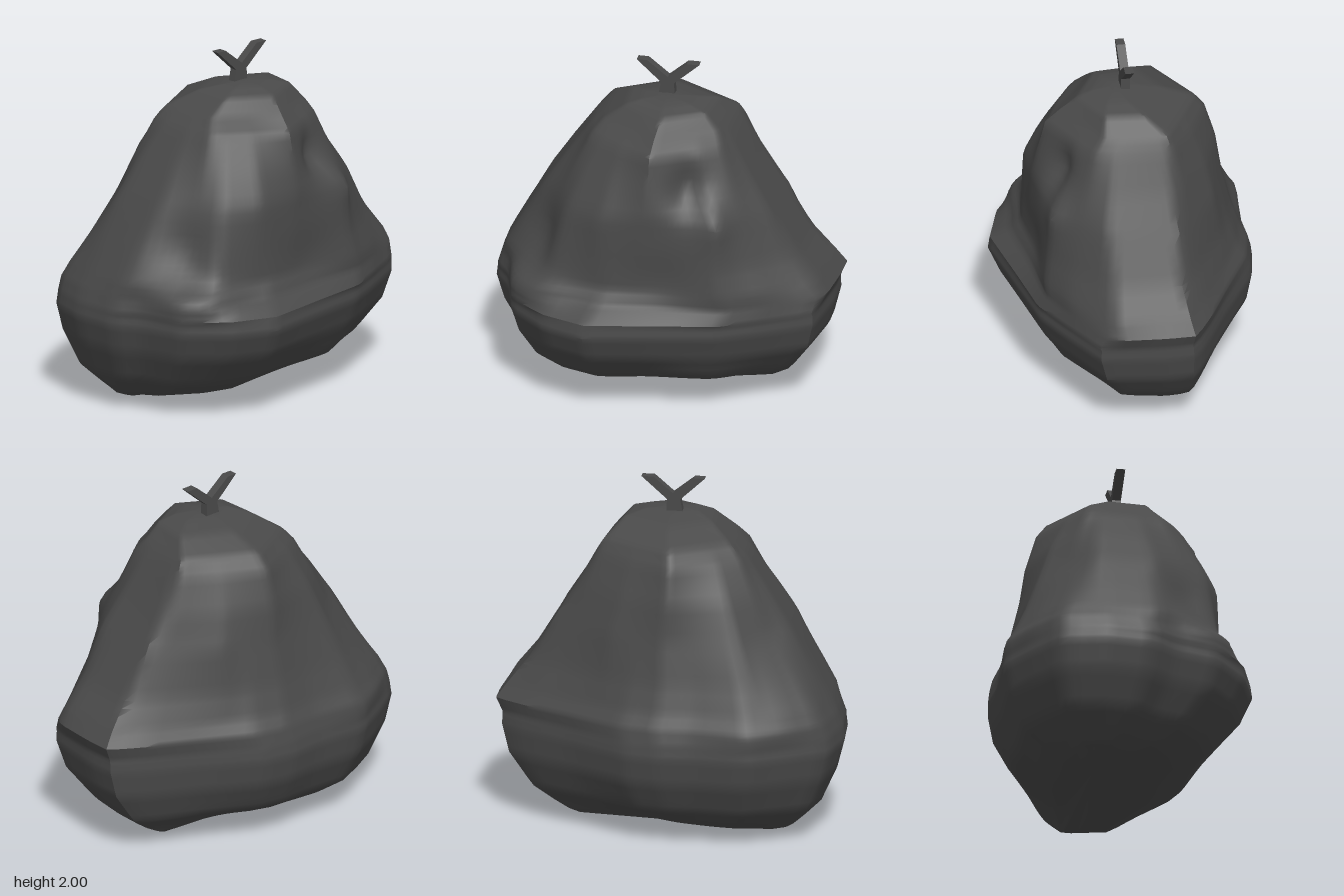
import * as THREE from 'three';
import { toCreasedNormals } from 'three/addons/utils/BufferGeometryUtils.js';

const { lerp, clamp, mapLinear } = THREE.MathUtils;

// section outlines as x,z corners, each with the height where it applies
const outlines = [
  // belly
  [0.62, [[0.99, -0.1], [0.95, 0.25], [0.65, 0.43], [0.45, 0.54], [-0.3, 0.72], [-0.55, 0.64], [-0.78, 0.46],
    [-0.87, 0.2], [-0.97, 0.08], [-1, -0.2], [-0.95, -0.45], [-0.75, -0.58], [-0.52, -0.71], [-0.2, -0.7],
    [0, -0.72], [0.2, -0.69], [0.55, -0.5], [0.8, -0.38], [0.98, -0.28]]],
  // waist, just above the front bulge
  [0.8, [[0.93, -0.25], [0.93, 0.17], [0.65, 0.4], [0.45, 0.51], [-0.2, 0.56], [-0.55, 0.51], [-0.75, 0.34],
    [-0.9, 0.1], [-0.91, -0.2], [-0.87, -0.42], [-0.7, -0.55], [-0.5, -0.65], [-0.2, -0.64], [0, -0.66],
    [0.2, -0.62], [0.52, -0.47], [0.75, -0.36]]],
  // shoulder, with narrow side panels and a broad front
  [1.2, [[0.66, -0.23], [0.66, 0.18], [0.42, 0.46], [0, 0.53], [-0.25, 0.54], [-0.47, 0.44], [-0.68, 0.12],
    [-0.69, -0.22], [-0.42, -0.49], [0, -0.55], [0.3, -0.47]]],
  // neck
  [1.68, [[0.36, 0.2], [0.03, 0.43], [-0.32, 0.2], [-0.35, -0.2], [-0.02, -0.43], [0.39, -0.2]]],
];

// height, then the limits of the section: min x, max x, min z, max z
const sections = [
  [0.02, -0.62, 0.52, -0.28, -0.08],
  [0.05, -0.7, 0.58, -0.37, 0.08],
  [0.1, -0.76, 0.66, -0.46, 0.28],
  [0.2, -0.86, 0.78, -0.6, 0.47],
  [0.4, -0.95, 0.92, -0.7, 0.66],
  [0.56, -0.99, 0.96, -0.73, 0.73],
  [0.64, -0.98, 0.96, -0.72, 0.72],
  [0.72, -0.95, 0.99, -0.7, 0.61],
  [0.8, -0.91, 0.93, -0.66, 0.56],
  [0.95, -0.83, 0.81, -0.61, 0.55],
  [1.2, -0.69, 0.66, -0.55, 0.54],
  [1.4, -0.56, 0.54, -0.52, 0.5],
  [1.6, -0.42, 0.43, -0.46, 0.45],
  [1.68, -0.34, 0.38, -0.4, 0.37],
  [1.77, -0.21, 0.29, -0.2, 0.27],
  [1.8, -0.12, 0.18, -0.06, 0.18],
];

// dents (negative) and folds (positive): x, y, z, width, height, depth
const folds = [
  [0.26, 1.4, 0.42, 0.12, 0.13, -0.08],
  [0.12, 0.85, 0.55, 0.2, 0.14, -0.02],
  [-0.68, 0.98, 0.32, 0.15, 0.18, -0.06],
  [-0.66, 0.73, 0.46, 0.22, 0.07, 0.08],
  [0.4, 1.2, 0.46, 0.08, 0.1, 0.02],
  [0.3, 0.22, 0.36, 0.25, 0.12, 0.04],
  [-0.6, 0.7, -0.65, 0.25, 0.06, 0.02],
];

// distance from the middle to a polygon's edge in one direction
function reach(poly, angle) {
  const c = Math.cos(angle), s = Math.sin(angle);
  let best = 0;
  poly.forEach(([ax, az], i) => {
    const [bx, bz] = poly[(i + 1) % poly.length];
    const ex = bx - ax, ez = bz - az, d = c * ez - s * ex;
    if (Math.abs(d) < 1e-9) return;
    const r = (ax * ez - az * ex) / d, u = (ax * s - az * c) / d;
    if (r > 0 && u >= -1e-6 && u <= 1 + 1e-6) best = Math.max(best, r);
  });
  return best;
}

// the same distance at any height, blended between neighbouring outlines
function reachAt(y, angle) {
  let k = 0;
  while (k < outlines.length - 2 && y > outlines[k + 1][0]) k++;
  const [y0, low] = outlines[k], [y1, high] = outlines[k + 1];
  return lerp(reach(low, angle), reach(high, angle), clamp((y - y0) / (y1 - y0), 0, 1));
}

function sackGeometry() {
  const N = 96, STEPS = 4, pos = [], index = [];
  let rings = 0;
  const ring = ([y, x0, x1, z0, z1]) => {
    const pts = [];
    for (let i = 0; i < N; i++) {
      const a = (i / N) * Math.PI * 2, r = reachAt(y, a);
      pts.push([r * Math.cos(a), r * Math.sin(a)]);
    }
    const xs = pts.map(p => p[0]), zs = pts.map(p => p[1]);
    const ax = Math.min(...xs), bx = Math.max(...xs), az = Math.min(...zs), bz = Math.max(...zs);
    for (const p of pts) {
      let x = mapLinear(p[0], ax, bx, x0, x1);
      let z = mapLinear(p[1], az, bz, z0, z1);
      let push = 0;
      for (const [fx, fy, fz, w, h, d] of folds) {
        const q = ((x - fx) ** 2 + (z - fz) ** 2) / (w * w) + ((y - fy) / h) ** 2;
        push += d * Math.exp(-q);
      }
      const len = Math.hypot(x, z) || 1;
      x += (x / len) * push;
      z += (z / len) * push;
      // the underside arches up between its two lobes
      const arch = 0.045 * Math.exp(-(((x - 0.2) / 0.28) ** 2)) + 0.015 * (x + 0.5);
      pos.push(x, y + Math.max(0, 1 - y / 0.25) * arch, z);
    }
    rings++;
  };
  for (let k = 0; k < sections.length - 1; k++)
    for (let j = 0; j < STEPS; j++)
      ring(sections[k].map((v, m) => lerp(v, sections[k + 1][m], j / STEPS)));
  ring(sections[sections.length - 1]);

  for (let k = 0; k < rings - 1; k++)
    for (let i = 0; i < N; i++) {
      const a = k * N + i, b = k * N + (i + 1) % N;
      index.push(a, a + N, b, b, a + N, b + N);
    }
  // closing fans at the bottom and the top
  const low = pos.length / 3, high = low + 1, last = (rings - 1) * N;
  pos.push(-0.48, 0.003, -0.18, 0.02, 1.81, 0.05);
  for (let i = 0; i < N; i++) {
    const n = (i + 1) % N;
    index.push(low, i, n, high, last + n, last + i);
  }
  const g = new THREE.BufferGeometry();
  g.setAttribute('position', new THREE.Float32BufferAttribute(pos, 3));
  g.setIndex(index);
  return toCreasedNormals(g, 0.7);
}

// forked stalk, a thin slab with a Y outline
function stalkGeometry() {
  const outline = [[-0.04, 1.77], [0.06, 1.77], [0.055, 1.87], [0.2, 2], [0.13, 2], [0.02, 1.905],
    [-0.1, 2], [-0.16, 2], [-0.02, 1.87]];
  const shape = new THREE.Shape(outline.map(([x, y]) => new THREE.Vector2(x, y)));
  const g = new THREE.ExtrudeGeometry(shape, { depth: 0.05, bevelEnabled: false });
  return g.translate(0, 0, -0.025).rotateY(0.03);
}

export function createModel() {
  const model = new THREE.Group();
  const material = new THREE.MeshStandardMaterial({ color: 0x4a4a4a });
  const add = (name, geometry) => {
    const mesh = new THREE.Mesh(geometry, material);
    mesh.name = name;
    model.add(mesh);
  };
  add('body', sackGeometry());
  add('forkedStalk', stalkGeometry());
  return model;
}
